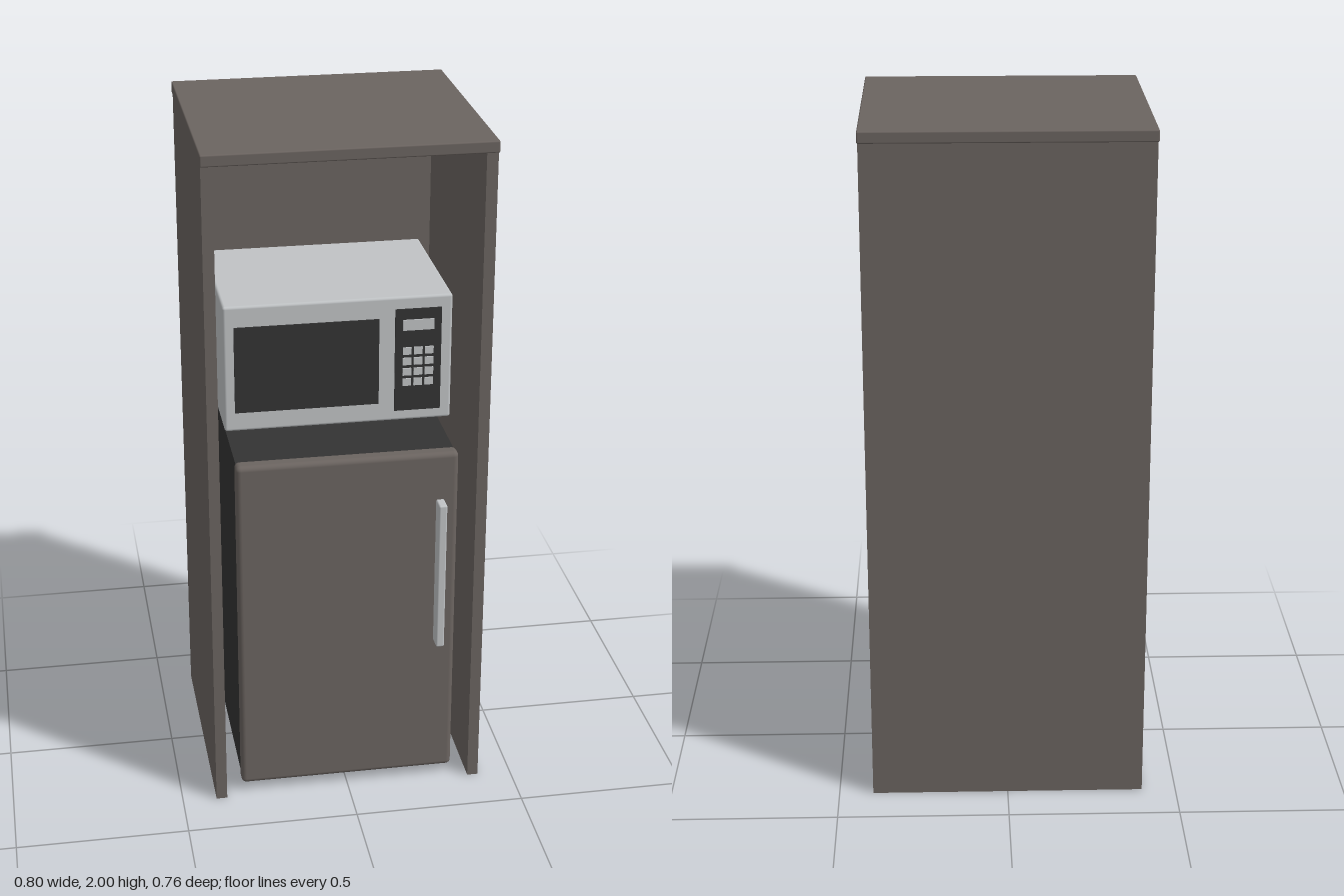
import * as THREE from 'three';
import { RoundedBoxGeometry } from 'three/addons/geometries/RoundedBoxGeometry.js';

const material = (name, color) => {
  const m = new THREE.MeshStandardMaterial({ color });
  m.name = name;
  return m;
};

export function createModel() {
  const wood = material('taupe wood', 0x6b6460);
  const silver = material('silver', 0xc0c3c5);
  const dark = material('charcoal', 0x333333);

  const model = new THREE.Group();
  model.name = 'kitchenTower';
  const group = (name) => {
    const g = new THREE.Group();
    g.name = name;
    model.add(g);
    return g;
  };

  // Box given by its extents on each axis, with optional rounded edges
  const box = (parent, name, mat, [x0, x1], [y0, y1], [z0, z1], radius = 0) => {
    const size = [x1 - x0, y1 - y0, z1 - z0];
    const geometry = radius
      ? new RoundedBoxGeometry(...size, 3, radius)
      : new THREE.BoxGeometry(...size);
    const mesh = new THREE.Mesh(geometry, mat);
    mesh.name = name;
    mesh.position.set((x0 + x1) / 2, (y0 + y1) / 2, (z0 + z1) / 2);
    parent.add(mesh);
  };

  // Open-fronted cabinet
  const cabinet = group('cabinet');
  box(cabinet, 'topPanel', wood, [-0.402, 0.402], [1.967, 2], [-0.38, 0.36], 0.004);
  box(cabinet, 'leftPanel', wood, [0.368, 0.4], [0, 1.967], [-0.365, 0.35]);
  box(cabinet, 'rightPanel', wood, [-0.4, -0.368], [0, 1.967], [-0.365, 0.35]);
  box(cabinet, 'backPanel', wood, [-0.368, 0.368], [0, 1.967], [-0.365, -0.345]);

  // Fridge with wood-faced door and bar handle
  const fridge = group('fridge');
  box(fridge, 'fridgeBody', dark, [-0.315, 0.315], [0.033, 1.07], [-0.33, 0.28]);
  box(fridge, 'fridgeDoor', wood, [-0.32, 0.32], [0.03, 1.08], [0.28, 0.33], 0.015);
  box(fridge, 'doorHandle', silver, [0.255, 0.279], [0.475, 0.937], [0.329, 0.378], 0.005);

  // Microwave with window and control panel
  const microwave = group('microwave');
  const front = 0.17;
  box(microwave, 'microwaveBody', silver, [-0.33, 0.327], [1.12, 1.5], [-0.31, front], 0.008);
  box(microwave, 'microwaveWindow', dark, [-0.3, 0.115], [1.178, 1.438], [front - 0.002, front + 0.004]);
  box(microwave, 'controlPanel', dark, [0.161, 0.295], [1.152, 1.464], [front - 0.002, front + 0.004]);

  // Display and keypad
  const keyZ = [front + 0.003, front + 0.008];
  box(microwave, 'display', silver, [0.183, 0.273], [1.4, 1.432], keyZ);
  for (let row = 0; row < 4; row++) {
    for (let col = 0; col < 3; col++) {
      const x = 0.196 + col * 0.032;
      const y = 1.241 + row * 0.032;
      box(microwave, 'keypadButton', silver, [x - 0.0125, x + 0.0125], [y - 0.011, y + 0.011], keyZ);
    }
  }

  return model;
}
